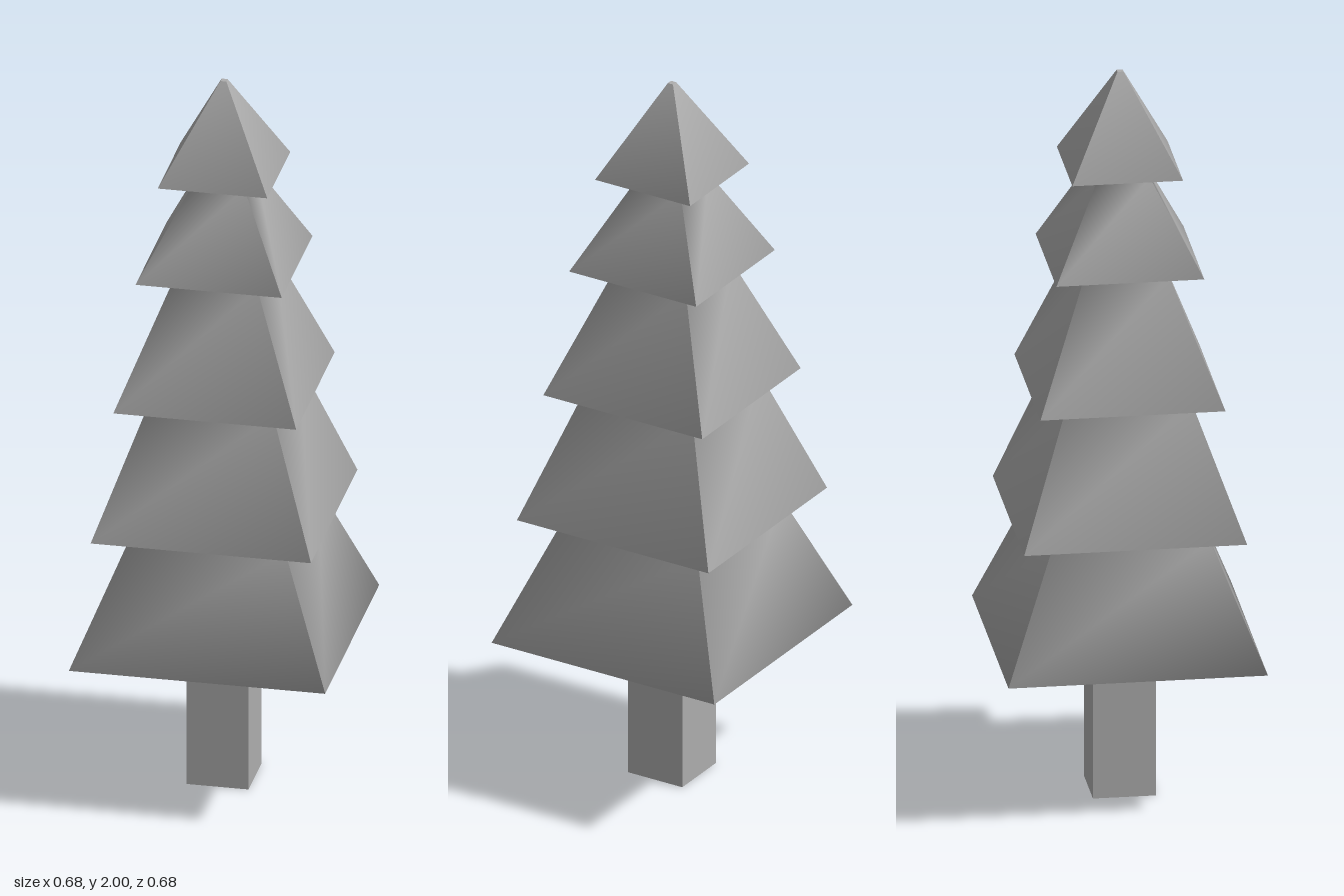
import * as THREE from 'three';

const material = new THREE.MeshStandardMaterial({ color: 0xadadad });

// One side of a square tower, facing +z, from [half width, height] pairs listed
// top to bottom; shading is smooth along the side, sharp at its two edges
function sidePanel(profile) {
  const panel = new THREE.PlaneGeometry(2, 1, 1, profile.length - 1);
  const position = panel.attributes.position;
  for (let i = 0; i < position.count; i++) {
    const [half, y] = profile[Math.floor(i / 2)];
    position.setXYZ(i, half * position.getX(i), y, half);
  }
  panel.computeVertexNormals();
  return panel;
}

export function createModel() {
  const tree = new THREE.Group();
  tree.name = 'pineTree';

  // Trunk
  const trunk = new THREE.Mesh(new THREE.BoxGeometry(0.166, 0.404, 0.166), material);
  trunk.position.y = 0.202;
  trunk.name = 'trunk';
  tree.add(trunk);

  // Tiers: half width and height of the rim, then of the underside's inner edge
  const tiers = [
    [0.146, 1.74, 0.069, 1.724],
    [0.195, 1.48, 0.112, 1.462],
    [0.244, 1.127, 0.166, 1.125],
    [0.294, 0.77, 0.208, 0.752],
    [0.342, 0.42, 0.083, 0.402],
  ];
  const profile = [[0.008, 2]];
  for (const [rim, rimY, inner, innerY] of tiers) {
    profile.push([rim, rimY], [inner, innerY]);
  }

  // Foliage: four equal sides
  const foliage = new THREE.Group();
  foliage.name = 'foliage';
  const panel = sidePanel(profile);
  for (let i = 0; i < 4; i++) {
    const side = new THREE.Mesh(panel, material);
    side.rotation.y = (i * Math.PI) / 2;
    side.name = 'foliageSide';
    foliage.add(side);
  }
  tree.add(foliage);

  // Small flat tip
  const tip = new THREE.Mesh(new THREE.PlaneGeometry(0.016, 0.016), material);
  tip.rotation.x = -Math.PI / 2;
  tip.position.y = 2;
  tip.name = 'tip';
  tree.add(tip);

  return tree;
}
